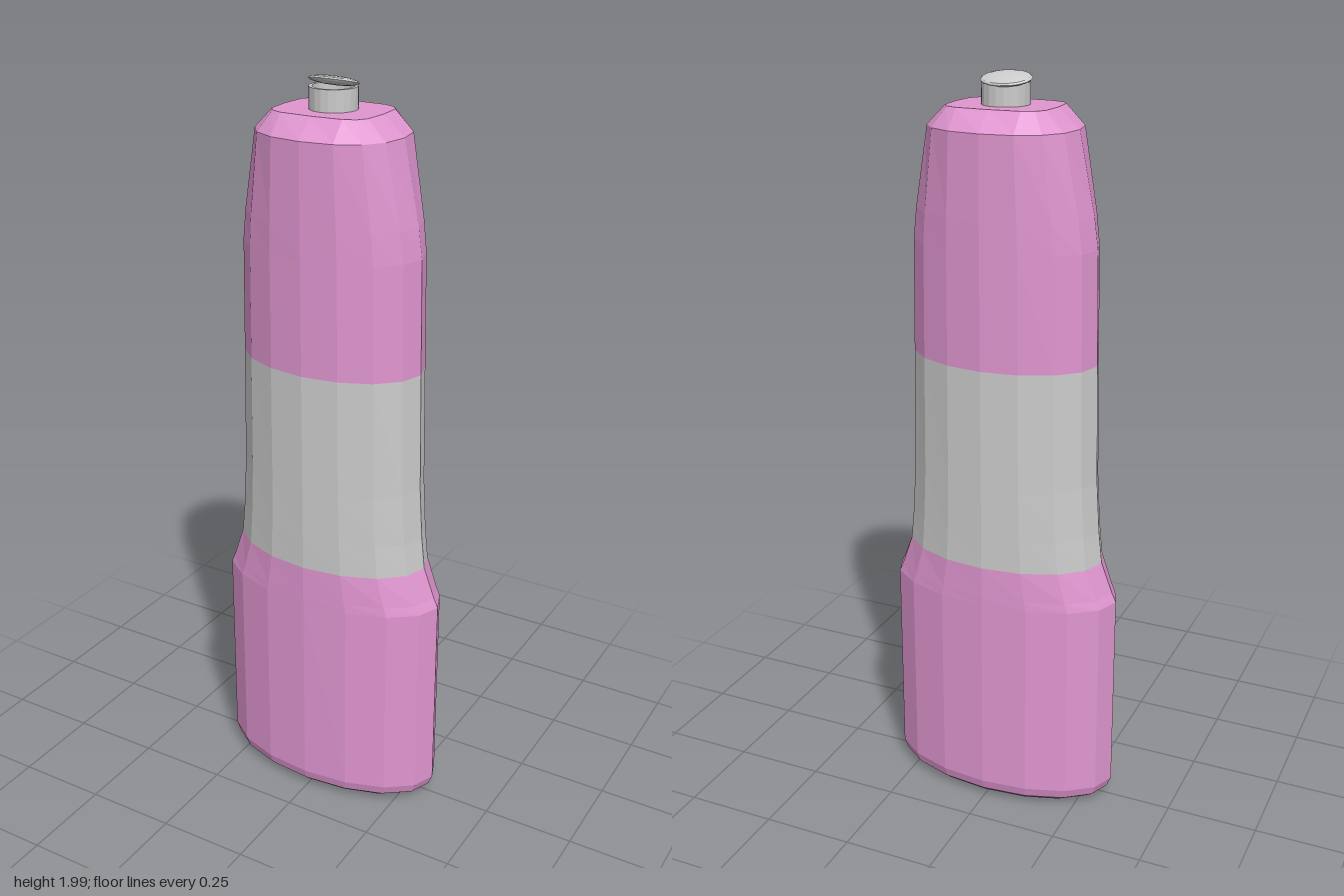
import * as THREE from 'three';

const SIDES = 16;
const PINK = 0xe096d0;
const GREY = 0xcccccc;

function material(color, side = THREE.FrontSide) {
  return new THREE.MeshStandardMaterial({ color, side, flatShading: true });
}

// Point on a rounded oval ring [y, halfWidth, halfDepth, squareness exponent].
function ringPoint([y, w, d, e = 1], i) {
  const a = (i / SIDES) * Math.PI * 2;
  const bend = (v) => (Math.abs(v) < 1e-6 ? 0 : Math.sign(v) * Math.abs(v) ** e);
  return [w * bend(Math.cos(a)), y, d * bend(Math.sin(a))];
}

// Skin a stack of rings listed from bottom to top; zero-width rings close an end.
function loft(name, rings, color) {
  const pos = [];
  for (let r = 0; r < rings.length - 1; r++) {
    for (let i = 0; i < SIDES; i++) {
      const a = ringPoint(rings[r], i);
      const b = ringPoint(rings[r + 1], i);
      const c = ringPoint(rings[r + 1], i + 1);
      const d = ringPoint(rings[r], i + 1);
      if (rings[r + 1][1] > 0) pos.push(...a, ...b, ...c);
      if (rings[r][1] > 0) pos.push(...a, ...c, ...d);
    }
  }
  const geometry = new THREE.BufferGeometry();
  geometry.setAttribute('position', new THREE.Float32BufferAttribute(pos, 3));
  geometry.computeVertexNormals();
  const mesh = new THREE.Mesh(geometry, material(color));
  mesh.name = name;
  return mesh;
}

export function createModel() {
  const group = new THREE.Group();
  group.name = 'bottle';

  // Wide lower body with a rounded foot and a sloped shoulder
  group.add(loft('lowerBody', [
    [0.006, 0, 0],
    [0.009, 0.22, 0.11],
    [0.016, 0.29, 0.138],
    [0.032, 0.316, 0.155],
    [0.06, 0.327, 0.163],
    [0.62, 0.325, 0.163],
    [0.645, 0.313, 0.163],
    [0.73, 0.281, 0.162],
  ], PINK));

  // Plain band around the waist
  group.add(loft('waistBand', [
    [0.73, 0.281, 0.162],
    [0.82, 0.271, 0.162],
    [0.96, 0.262, 0.162],
    [1.28, 0.255, 0.162],
  ], GREY));

  // Tapering upper body with a bevelled, squarer top
  group.add(loft('upperBody', [
    [1.28, 0.255, 0.162],
    [1.58, 0.249, 0.162],
    [1.66, 0.238, 0.162, 0.97],
    [1.87, 0.195, 0.161, 0.86],
    [1.92, 0.138, 0.11, 0.5],
    [1.92, 0, 0],
  ], PINK));

  // Hollow spout with a thin rim
  const spoutProfile = [[0.052, 1.921], [0.052, 1.974], [0.061, 1.974], [0.061, 1.918]]
    .map(([x, y]) => new THREE.Vector2(x, y));
  const spout = new THREE.Mesh(
    new THREE.LatheGeometry(spoutProfile, 20),
    material(GREY, THREE.DoubleSide),
  );
  spout.name = 'spout';
  group.add(spout);

  // Thin domed lid, tilted up towards the front
  const lid = new THREE.Mesh(new THREE.SphereGeometry(1, 16, 8), material(GREY));
  lid.name = 'lid';
  lid.scale.set(0.067, 0.011, 0.051);
  lid.position.set(-0.008, 1.983, -0.015);
  lid.rotation.x = -0.25;
  group.add(lid);

  return group;
}
